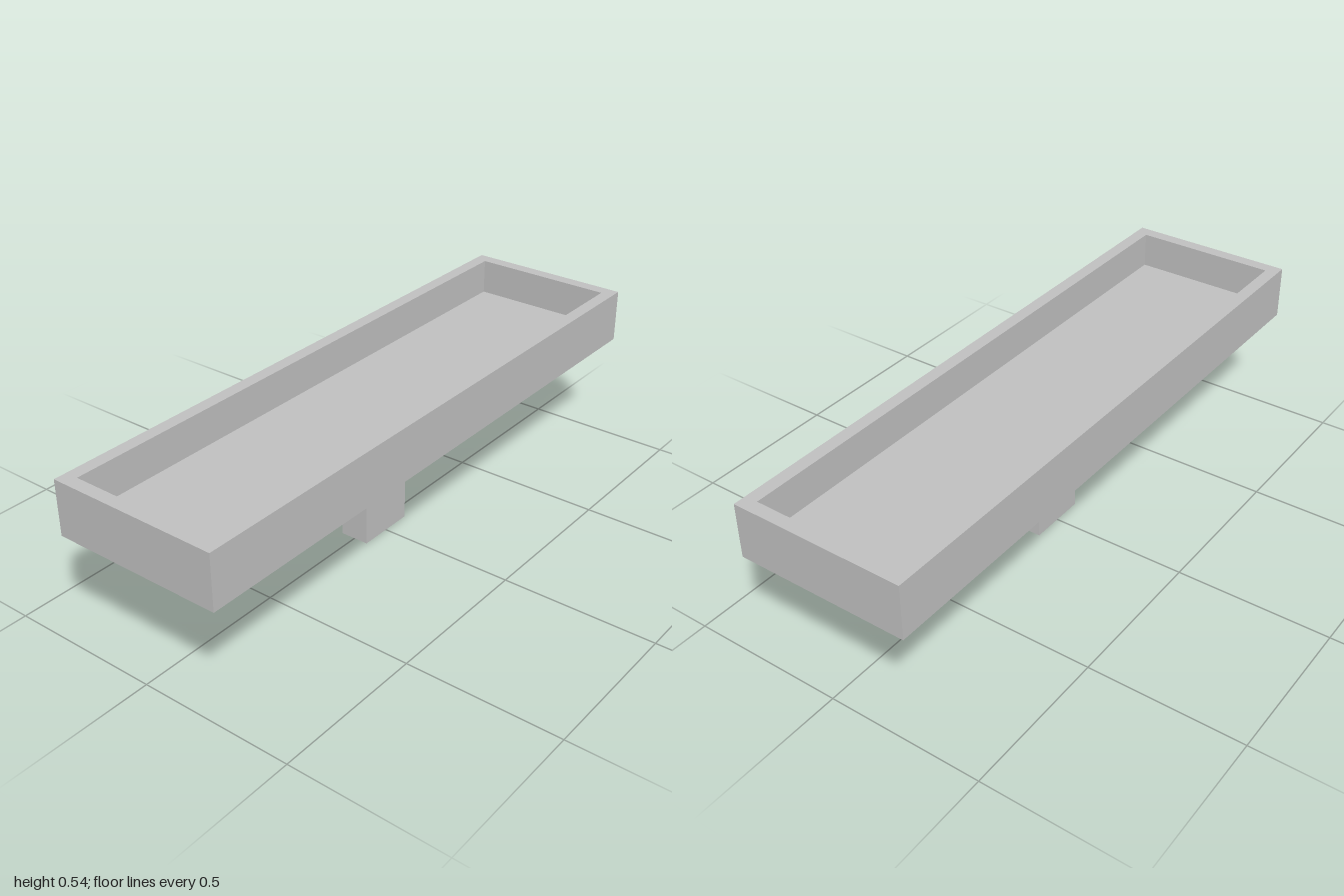
import * as THREE from 'three';

const W = 0.558, L = 2, WALL = 0.042;      // tray footprint and wall thickness
const BASE = 0.366, FLOOR = 0.424, TOP = 0.542; // heights

function rectangle(PathType, w, l) {
  return new PathType([
    new THREE.Vector2(-w / 2, -l / 2),
    new THREE.Vector2(w / 2, -l / 2),
    new THREE.Vector2(w / 2, l / 2),
    new THREE.Vector2(-w / 2, l / 2),
  ]);
}

export function createModel() {
  const group = new THREE.Group();
  group.name = 'trayOnPost';
  const grey = new THREE.MeshStandardMaterial({ color: 0xbfbfbf });
  grey.name = 'light grey';

  function add(name, geometry, y) {
    const mesh = new THREE.Mesh(geometry, grey);
    mesh.name = name;
    mesh.position.y = y;
    group.add(mesh);
  }

  const innerW = W - 2 * WALL, innerL = L - 2 * WALL;

  // Tray walls: a rectangular frame
  const frame = rectangle(THREE.Shape, W, L);
  frame.holes.push(rectangle(THREE.Path, innerW, innerL));
  const walls = new THREE.ExtrudeGeometry(frame, { depth: TOP - BASE, bevelEnabled: false });
  walls.rotateX(-Math.PI / 2);
  add('trayWalls', walls, BASE);

  // Tray floor, sunk below the rim
  add('trayFloor', new THREE.BoxGeometry(innerW, FLOOR - BASE, innerL), (BASE + FLOOR) / 2);

  // Supporting post
  add('post', new THREE.BoxGeometry(0.096, BASE, 0.2), BASE / 2);

  return group;
}
